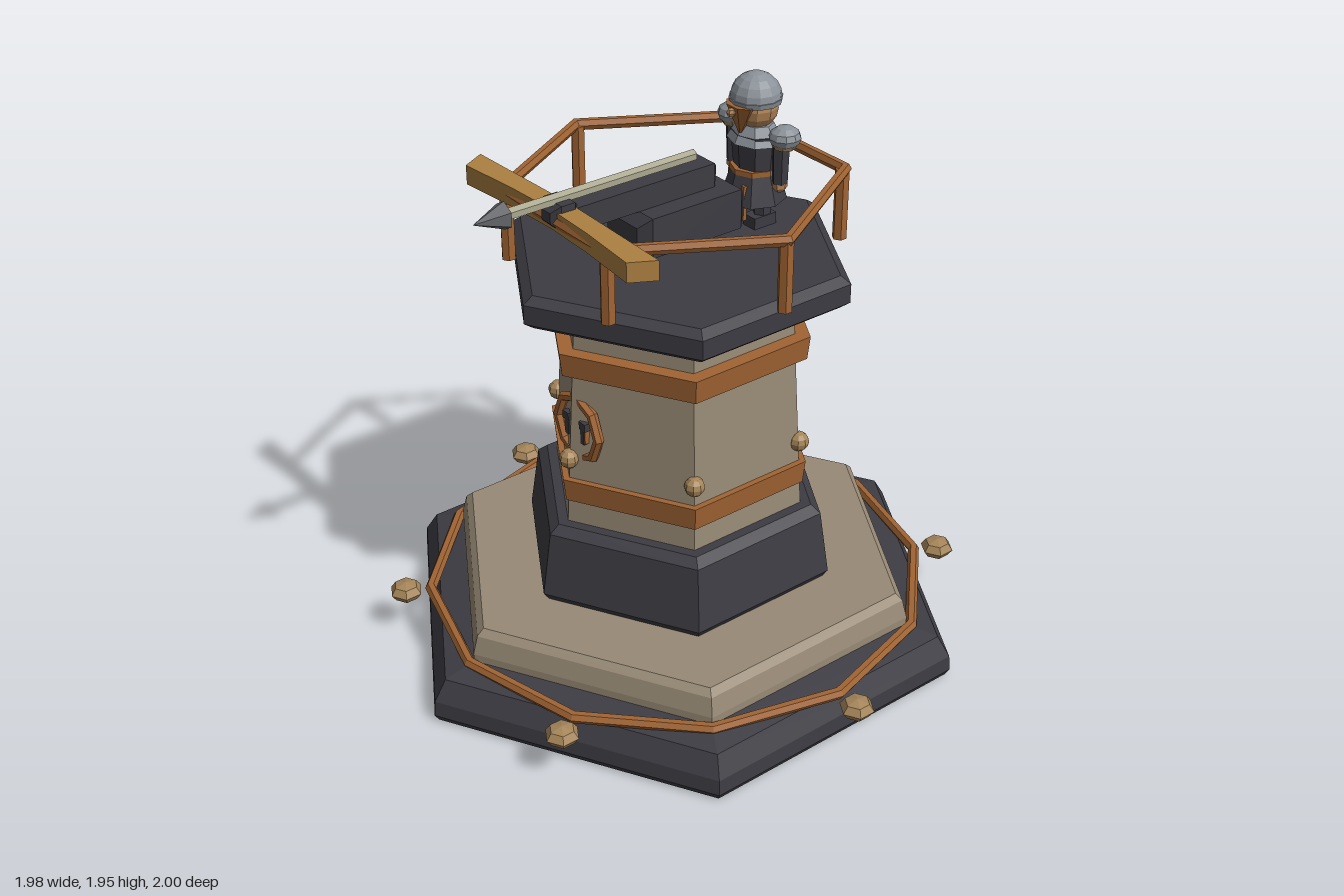
import * as THREE from 'three';

const mat = (name, color) => {
  const m = new THREE.MeshStandardMaterial({ color, flatShading: true });
  m.name = name;
  return m;
};

export function createModel() {
  const root = new THREE.Group();
  root.name = 'ballistaTower';
  const dark = mat('darkStone', 0x3d3c43);
  const stone = mat('paleStone', 0x988a76);
  const copper = mat('copper', 0xa06433);
  const gold = mat('gold', 0xac8041);
  const brass = mat('brass', 0xa58559);
  const steel = mat('steel', 0x8b9299);
  const iron = mat('iron', 0x66676c);
  const shaftWood = mat('paleWood', 0xaba78f);
  const skin = mat('skin', 0xb08255);

  const add = (name, geo, material, x = 0, y = 0, z = 0, parent = root) => {
    const m = new THREE.Mesh(geo, material);
    m.name = name;
    m.position.set(x, y, z);
    parent.add(m);
    return m;
  };
  // Lathed prism from [radius, height] pairs, corner facing +z
  const prism = (pts, sides = 6) =>
    new THREE.LatheGeometry(pts.map(([r, y]) => new THREE.Vector2(r, y)), sides);
  const box = (w, h, d) => new THREE.BoxGeometry(w, h, d);
  const ball = (r, a = 8, b = 6) => new THREE.SphereGeometry(r, a, b);
  const chamferBox = (w, h, d, b) => {
    const x = w / 2 - b, y = h / 2 - b;
    const s = new THREE.Shape([[-x, -y], [x, -y], [x, y], [-x, y]].map(p => new THREE.Vector2(...p)));
    const g = new THREE.ExtrudeGeometry(s, {
      depth: d - 2 * b, bevelThickness: b, bevelSize: b, bevelSegments: 1,
    });
    return g.translate(0, 0, -d / 2 + b);
  };
  const ring = (r, tube, sides) => new THREE.TorusGeometry(r, tube, 6, sides).rotateX(Math.PI / 2);

  // Stepped base and tower
  add('base', prism([[0, 0], [0.985, 0], [1, 0.025], [0.995, 0.08], [0.95, 0.15], [0.84, 0.172], [0, 0.175]]), dark);
  add('step', prism([[0.838, 0.165], [0.838, 0.2], [0.82, 0.265], [0.795, 0.287], [0, 0.287]]), stone);
  add('plinth', prism([[0.53, 0.28], [0.555, 0.315], [0.52, 0.54], [0.485, 0.567], [0, 0.567]]), dark);
  add('shaft', prism([[0.448, 0.56], [0.404, 1.265], [0.36, 1.325]]), stone);
  for (const y of [0.65, 1.12]) {
    add('band', prism([[0.4, y], [0.452, y], [0.461, y + 0.082], [0.4, y + 0.082]]), copper);
  }
  add('platform', prism([[0, 1.325], [0.55, 1.325], [0.585, 1.35], [0.585, 1.415], [0.55, 1.438], [0, 1.438]]), dark);

  // Base ring, gems, studs and railing
  add('baseRing', ring(0.855, 0.02, 12), copper, 0, 0.172, 0);
  add('rail', ring(0.54, 0.02, 6), copper, 0, 1.67, 0);
  for (let i = 0; i < 6; i++) {
    const a = i * Math.PI / 3, b = a + Math.PI / 6;
    const gem = ball(0.058, 6, 4).rotateY(Math.PI / 6).scale(1, 0.6, 1);
    add('gem', gem, brass, Math.sin(b) * 0.94, 0.17, Math.cos(b) * 0.94);
    add('stud', ball(0.034), brass, Math.sin(a) * 0.435, 0.805, Math.cos(a) * 0.435);
    const post = new THREE.CylinderGeometry(0.024, 0.024, 0.24, 6);
    add('railPost', post, copper, Math.sin(b) * 0.53, 1.55, Math.cos(b) * 0.53);
  }

  // Emblem wrapped on the front corner
  add('emblemRing', new THREE.TorusGeometry(0.11, 0.018, 6, 8), copper, 0, 0.91, 0.395);
  for (const s of [-1, 1]) {
    add('emblemBar', box(0.018, 0.08, 0.02), dark, s * 0.042, 0.91, 0.402);
    add('emblemHead', box(0.032, 0.028, 0.02), dark, s * 0.045, 0.937, 0.404);
    add('emblemPin', box(0.008, 0.05, 0.02), copper, s * 0.053, 0.9, 0.4);
  }

  // Crossbow
  const bow = new THREE.Group();
  bow.name = 'crossbow';
  root.add(bow);
  add('bowBlock', chamferBox(0.225, 0.135, 0.42, 0.035), dark, 0, 1.557, 0, bow);
  add('bowStock', chamferBox(0.09, 0.08, 0.6, 0.02), dark, 0, 1.665, 0.16, bow);
  const outline = [[-0.465, 0.42], [-0.22, 0.412], [0, 0.405], [0.22, 0.412], [0.465, 0.42],
    [0.42, 0.503], [0.2, 0.482], [0, 0.473], [-0.2, 0.482], [-0.42, 0.503]];
  const limb = new THREE.ExtrudeGeometry(
    new THREE.Shape(outline.map(([x, z]) => new THREE.Vector2(x, z))),
    { depth: 0.065, bevelEnabled: false });
  add('bowLimbs', limb.rotateX(Math.PI / 2), gold, 0, 1.705, 0, bow);
  add('limbClamp', chamferBox(0.095, 0.085, 0.1, 0.025), dark, 0, 1.685, 0.44, bow);
  add('bolt', new THREE.CylinderGeometry(0.02, 0.02, 0.71, 6).rotateX(Math.PI / 2), shaftWood, 0, 1.732, 0.285, bow);
  add('boltHead', new THREE.ConeGeometry(0.046, 0.11, 6).rotateX(Math.PI / 2), iron, 0, 1.732, 0.69, bow);

  // Guard standing behind the crossbow
  const guard = new THREE.Group();
  guard.name = 'guard';
  guard.position.set(0, 0, -0.32);
  root.add(guard);
  const put = (name, geo, m, x, y, z) => add(name, geo, m, x, y, z, guard);
  put('skirt', new THREE.CylinderGeometry(0.075, 0.108, 0.11, 8), dark, 0, 1.575, 0);
  put('torso', new THREE.CylinderGeometry(0.09, 0.075, 0.14, 8).scale(1, 1, 0.8), dark, 0, 1.68, 0);
  put('collar', new THREE.CylinderGeometry(0.065, 0.1, 0.06, 8).scale(1, 1, 0.85), steel, 0, 1.752, 0);
  put('belt', new THREE.CylinderGeometry(0.08, 0.08, 0.018, 8), copper, 0, 1.625, 0);
  put('head', ball(0.075, 10, 8), skin, 0, 1.835, 0);
  put('helmet', new THREE.SphereGeometry(0.085, 12, 5, 0, Math.PI * 2, 0, Math.PI / 2), steel, 0, 1.863, 0);
  put('helmetBrim', new THREE.CylinderGeometry(0.088, 0.084, 0.018, 12), steel, 0, 1.859, 0);
  put('beard', new THREE.ConeGeometry(0.062, 0.11, 7).rotateX(Math.PI).scale(1, 1, 0.65), copper, 0, 1.8, 0.062);
  put('nose', ball(0.016, 6, 4), skin, 0, 1.835, 0.1);
  for (const s of [-1, 1]) {
    put('eye', box(0.016, 0.012, 0.008), dark, s * 0.028, 1.848, 0.07);
    put('pauldron', ball(0.053, 10, 6).scale(1, 0.72, 1), steel, s * 0.128, 1.765, -0.015);
    put('pauldronTrim', new THREE.CylinderGeometry(0.045, 0.036, 0.02, 8), brass, s * 0.125, 1.738, -0.015);
    put('arm', new THREE.CylinderGeometry(0.03, 0.026, 0.13, 6), dark, s * 0.115, 1.67, -0.01);
    put('hand', ball(0.026, 6, 5), skin, s * 0.115, 1.598, -0.01);
    put('leg', new THREE.CylinderGeometry(0.032, 0.03, 0.1, 6), dark, s * 0.042, 1.5, 0);
    put('boot', box(0.058, 0.04, 0.09), dark, s * 0.042, 1.457, 0.008);
  }
  put('toolHandle', box(0.014, 0.12, 0.014), copper, 0.04, 1.53, 0.075);
  return root;
}
